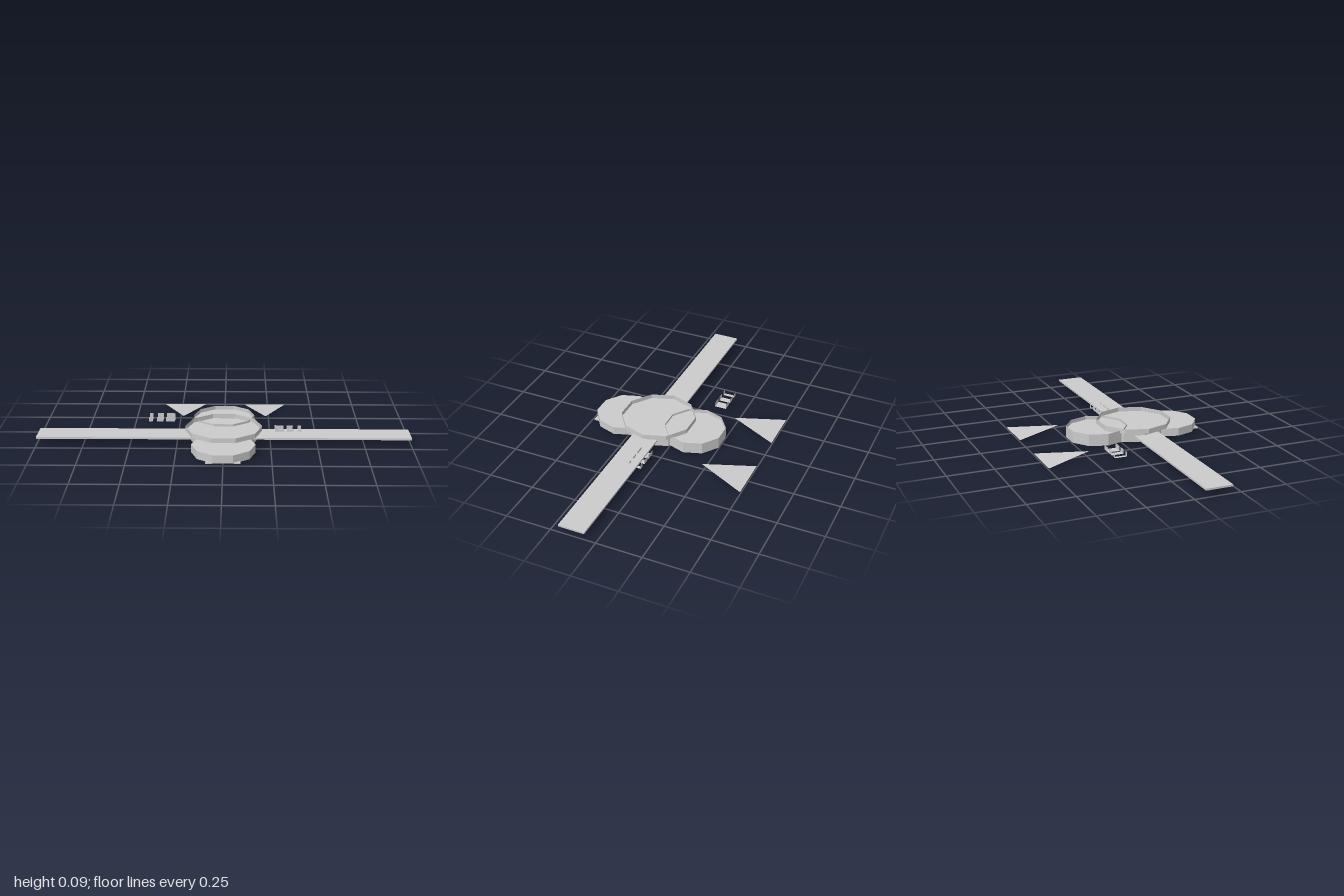
import * as THREE from 'three';

export function createModel() {
  const model = new THREE.Group();
  const solid = new THREE.MeshStandardMaterial({ color: 0xcccccc, flatShading: true });
  const sheet = new THREE.MeshStandardMaterial({ color: 0xcccccc, flatShading: true, side: THREE.DoubleSide });

  function add(name, geometry, material = solid) {
    const mesh = new THREE.Mesh(geometry, material);
    mesh.name = name;
    model.add(mesh);
    return mesh;
  }

  // Ten-sided disc with a corner on each side; open = wall only
  function disc(name, radius, z, y0, y1, open = false) {
    const g = new THREE.CylinderGeometry(radius, radius, y1 - y0, 10, 1, open, Math.PI / 2);
    g.translate(0, (y0 + y1) / 2, z);
    return add(name, g, open ? sheet : solid);
  }

  function box(name, x0, x1, y0, y1, z0, z1) {
    const g = new THREE.BoxGeometry(x1 - x0, y1 - y0, z1 - z0);
    g.translate((x0 + x1) / 2, (y0 + y1) / 2, (z0 + z1) / 2);
    return add(name, g);
  }

  // Body sections
  disc('frontBody', 0.168, 0.325, 0.008, 0.052);
  disc('middleBody', 0.185, 0.114, 0.008, 0.059);
  disc('rearBody', 0.167, -0.092, 0.008, 0.052);

  // Shallow open trays on the middle and rear sections
  disc('rearTrayWall', 0.167, -0.092, 0.052, 0.073, true);
  disc('middleTrayWall', 0.206, 0.128, 0.06, 0.085, true);
  disc('middleTrayFloor', 0.206, 0.128, 0.059, 0.061);

  // Belly plate, front tabs and wings
  box('bellyPlate', -0.09, 0.09, 0, 0.008, -0.19, 0.455);
  for (const s of [-1, 1]) {
    const x = s * 0.0725;
    box('frontTab', x - 0.0175, x + 0.0175, 0.006, 0.012, 0.44, 0.485);
  }
  box('wings', -1, 1, 0.035, 0.045, 0.06, 0.205);

  // Loose tail fins, tips slightly raised
  for (const s of [-1, 1]) {
    const g = new THREE.BufferGeometry();
    g.setAttribute('position', new THREE.Float32BufferAttribute([
      s * 0.233 - 0.12, 0.002, -0.495,
      s * 0.233, 0.018, -0.23,
      s * 0.233 + 0.12, 0.002, -0.495,
    ], 3));
    g.computeVertexNormals();
    add('tailFin', g, sheet);
  }

  // Small folded sheet brackets: a floor with a wall at each end
  function bracket(x0, x1, z0, z1) {
    const width = x1 - x0, x = (x0 + x1) / 2, low = 0.032, high = 0.058;
    const floor = new THREE.PlaneGeometry(width, z1 - z0);
    floor.rotateX(-Math.PI / 2).translate(x, low, (z0 + z1) / 2);
    add('bracketFloor', floor, sheet);
    for (const z of [z0, z1]) {
      const wall = new THREE.PlaneGeometry(width, high - low);
      wall.translate(x, (low + high) / 2, z);
      add('bracketWall', wall, sheet);
    }
  }
  for (const [a, b] of [[0.275, 0.325], [0.34, 0.375], [0.4, 0.42]]) {
    bracket(a, b, 0.037, 0.102);
    bracket(-b, -a, -0.16, -0.095);
  }

  return model;
}
